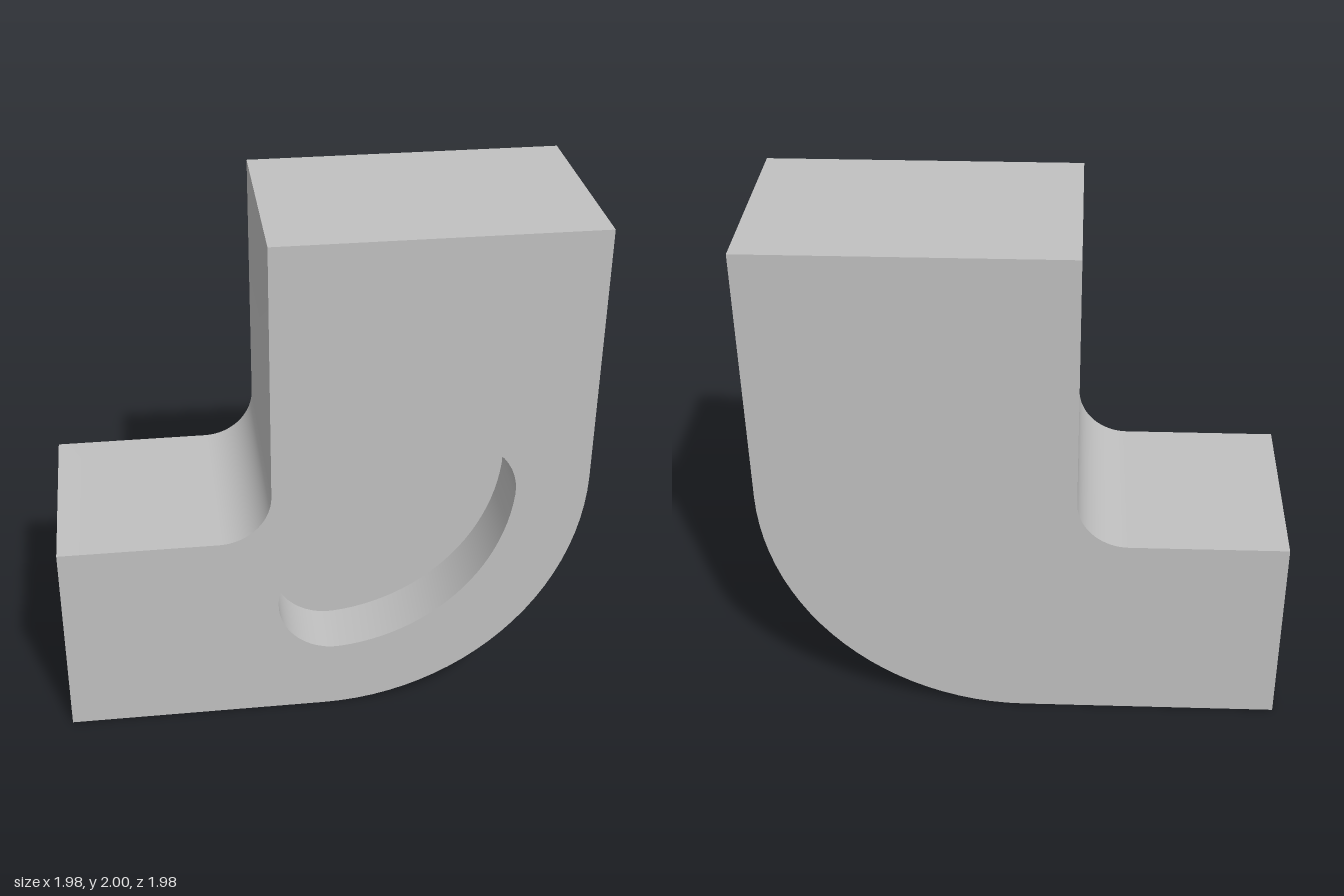
import * as THREE from 'three';
import { toCreasedNormals } from 'three/addons/utils/BufferGeometryUtils.js';

const HALF = 0.4;          // half the block's thickness
const FLOOR = HALF - 0.228; // depth position of the pocket floor

// Points along an arc, angles in degrees; trim drops both end points
function arc(cx, cy, r, from, to, trim = false) {
  const n = 24, points = [];
  for (let i = trim ? 1 : 0; i <= (trim ? n - 1 : n); i++) {
    const a = THREE.MathUtils.degToRad(from + (to - from) * i / n);
    points.push(new THREE.Vector2(cx + r * Math.cos(a), cy + r * Math.sin(a)));
  }
  return points;
}

// Smooth side walls of a shape between two depths; inward turns them to face inside
function walls(shape, z0, z1, inward = false) {
  const solid = new THREE.ExtrudeGeometry(shape, { depth: z1 - z0, bevelEnabled: false });
  const { start, count } = solid.groups[1];
  const pos = solid.attributes.position, coords = [];
  for (let i = 0; i < count; i++) {
    const k = start + (inward ? count - 1 - i : i);
    coords.push(pos.getX(k), pos.getY(k), pos.getZ(k) + z0);
  }
  const geometry = new THREE.BufferGeometry();
  geometry.setAttribute('position', new THREE.Float32BufferAttribute(coords, 3));
  return toCreasedNormals(geometry, 0.5);
}

export function createModel() {
  const grey = new THREE.MeshStandardMaterial({ color: 0xc0c0c0 });
  grey.name = 'grey';

  const model = new THREE.Group();
  model.name = 'elbowBlock';
  const block = new THREE.Group();
  block.name = 'block';
  block.rotation.y = -Math.PI / 4;
  model.add(block);

  const add = (name, geometry) => {
    const mesh = new THREE.Mesh(geometry, grey);
    mesh.name = name;
    block.add(mesh);
    return mesh;
  };

  // L-shaped outline with a large rounded heel and a small inner fillet
  const v = (x, y) => new THREE.Vector2(x, y);
  const outline = [
    v(-1, 0), ...arc(0, 1, 1, -90, 0), v(1, 2), v(-0.2, 2),
    ...arc(-0.4, 1, 0.2, 0, -90), v(-1, 0.8),
  ];

  // Curved slot, concentric with the heel, with round ends
  const R = 0.5, w = 0.2225, a0 = -85, a1 = -5;
  const end = (a) => {
    const t = THREE.MathUtils.degToRad(a);
    return [R * Math.cos(t), 1 + R * Math.sin(t)];
  };
  const slot = [
    ...arc(0, 1, R + w, a0, a1),
    ...arc(...end(a1), w, a1, a1 + 180, true),
    ...arc(0, 1, R - w, a1, a0),
    ...arc(...end(a0), w, a0 + 180, a0 + 360, true),
  ];

  // Front face with the slot opening
  const frontShape = new THREE.Shape(outline);
  frontShape.holes.push(new THREE.Path(slot));
  add('frontFace', new THREE.ShapeGeometry(frontShape)).position.z = HALF;

  // Plain back face
  const back = add('backFace', new THREE.ShapeGeometry(new THREE.Shape(outline)).scale(-1, 1, 1));
  back.geometry.dispose();
  back.geometry = new THREE.ShapeGeometry(new THREE.Shape(outline.map((p) => v(-p.x, p.y))));
  back.rotation.y = Math.PI;
  back.position.z = -HALF;

  // Outer sides
  add('outerWalls', walls(new THREE.Shape(outline), -HALF, HALF));

  // Blind pocket
  add('slotWalls', walls(new THREE.Shape(slot), FLOOR, HALF, true));
  add('slotFloor', new THREE.ShapeGeometry(new THREE.Shape(slot))).position.z = FLOOR;

  return model;
}
